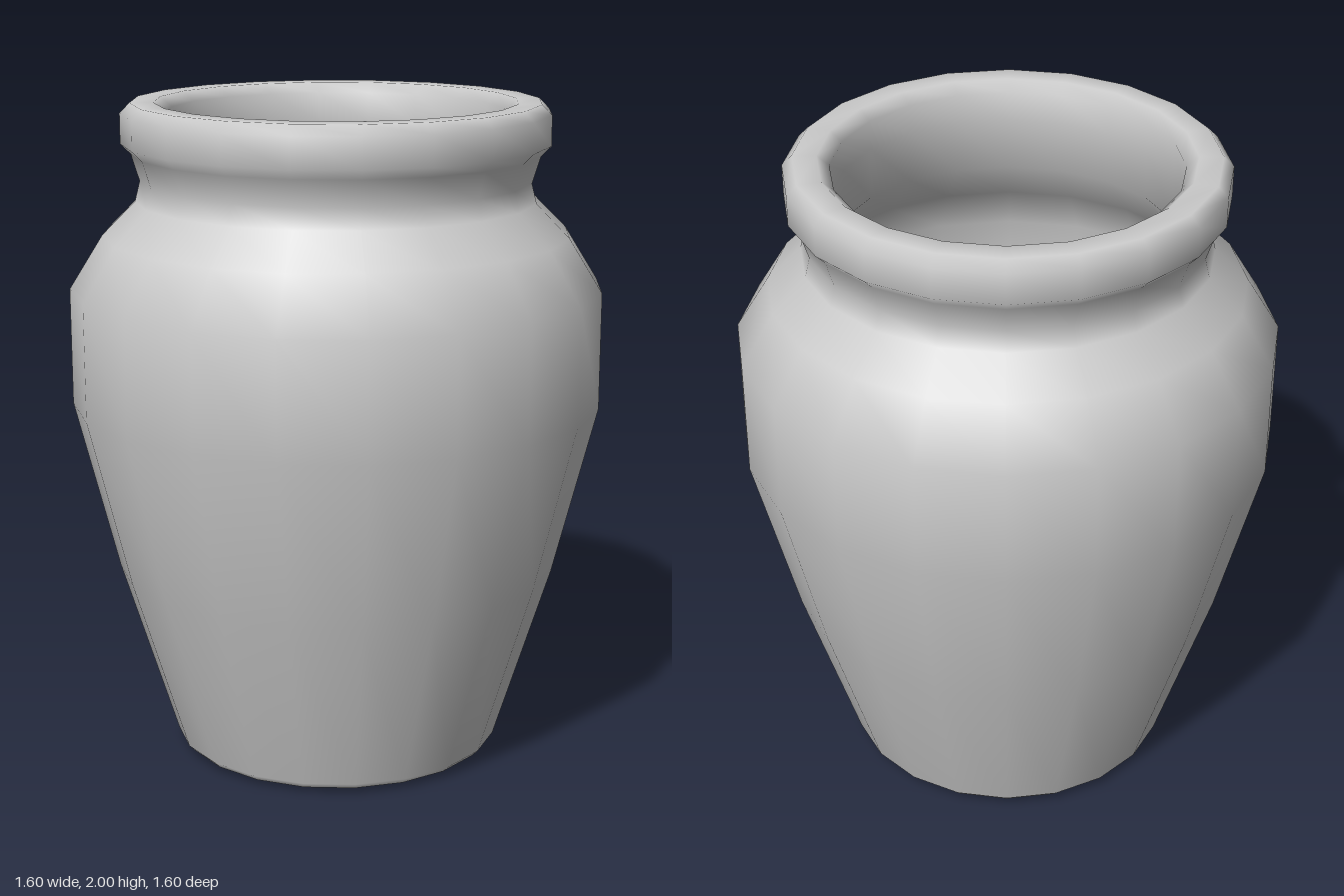
import * as THREE from 'three';

const SIDES = 20;
const material = new THREE.MeshStandardMaterial({ color: 0xcccccc });

// Revolve [radius, height] pairs around the y axis
function turned(name, profile) {
  const points = profile.map(([r, y]) => new THREE.Vector2(r, y));
  const mesh = new THREE.Mesh(new THREE.LatheGeometry(points, SIDES), material);
  mesh.name = name;
  return mesh;
}

export function createModel() {
  const jar = new THREE.Group();
  jar.name = 'jar';

  // Underside, very slightly domed
  jar.add(turned('base', [[0, 0], [0.48, 0.015]]));

  // Outer wall, neck, rolled rim and hollow inner wall in one sweep
  jar.add(turned('body', [
    [0.48, 0.015], [0.5, 0.035], [0.67, 0.58], [0.8, 1.1], [0.8, 1.45],
    [0.7, 1.61], [0.6, 1.71], [0.585, 1.77], [0.61, 1.85],
    [0.64, 1.88], [0.64, 1.97], [0.61, 2], [0.54, 2], [0.505, 1.97],
    [0.505, 1.88], [0.51, 1.72], [0.62, 1.58], [0.71, 1.43], [0.71, 1.12],
    [0.58, 0.6], [0.42, 0.12], [0.38, 0.09],
  ]));

  // Inside bottom
  jar.add(turned('innerFloor', [[0.38, 0.09], [0, 0.09]]));

  return jar;
}
